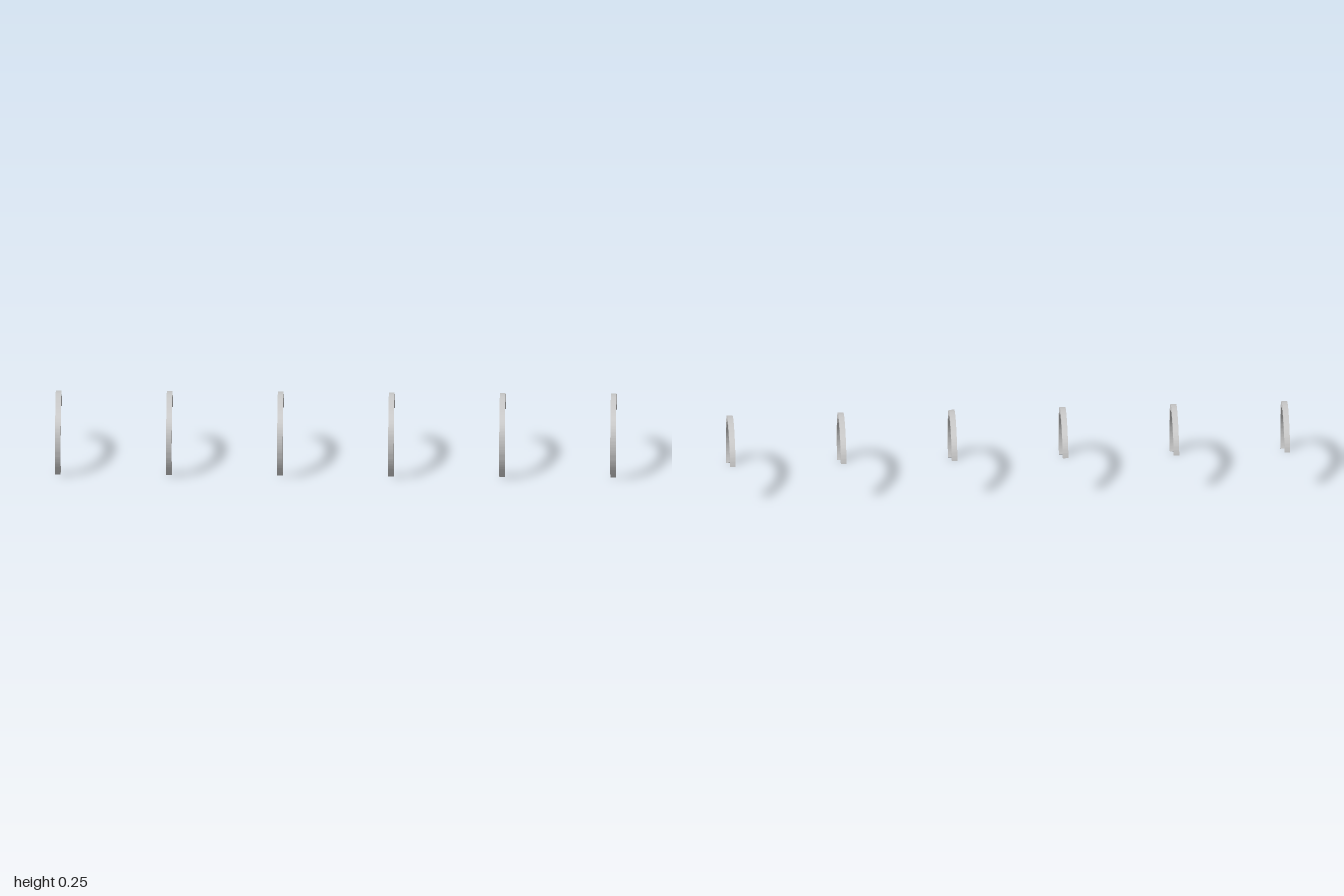
import * as THREE from 'three';
import { toCreasedNormals } from 'three/addons/utils/BufferGeometryUtils.js';

const OUTER = 0.161, INNER = 0.1405, WIDTH = 0.02;
const START = THREE.MathUtils.degToRad(-34);
const END = THREE.MathUtils.degToRad(157);

export function createModel() {
  const group = new THREE.Group();
  const material = new THREE.MeshStandardMaterial({ color: 0xcccccc });

  // Square bar bent into an open arc: flat sides, smooth inner and outer faces
  const profile = new THREE.Shape()
    .absarc(0, 0, OUTER, START, END, false)
    .absarc(0, 0, INNER, END, START, true)
    .closePath();
  const extruded = new THREE.ExtrudeGeometry(profile, {
    depth: WIDTH, bevelEnabled: false, curveSegments: 64,
  }).translate(0, 0, -WIDTH / 2);
  const hoopGeometry = toCreasedNormals(extruded, Math.PI / 6);

  // Row of six identical hoops
  for (let i = 0; i < 6; i++) {
    const hoop = new THREE.Mesh(hoopGeometry, material);
    hoop.name = `hoop${i + 1}`;
    hoop.rotation.y = -Math.PI / 2;
    hoop.position.set((i - 2.5) * 0.396, 0.09, -0.006);
    group.add(hoop);
  }
  return group;
}
